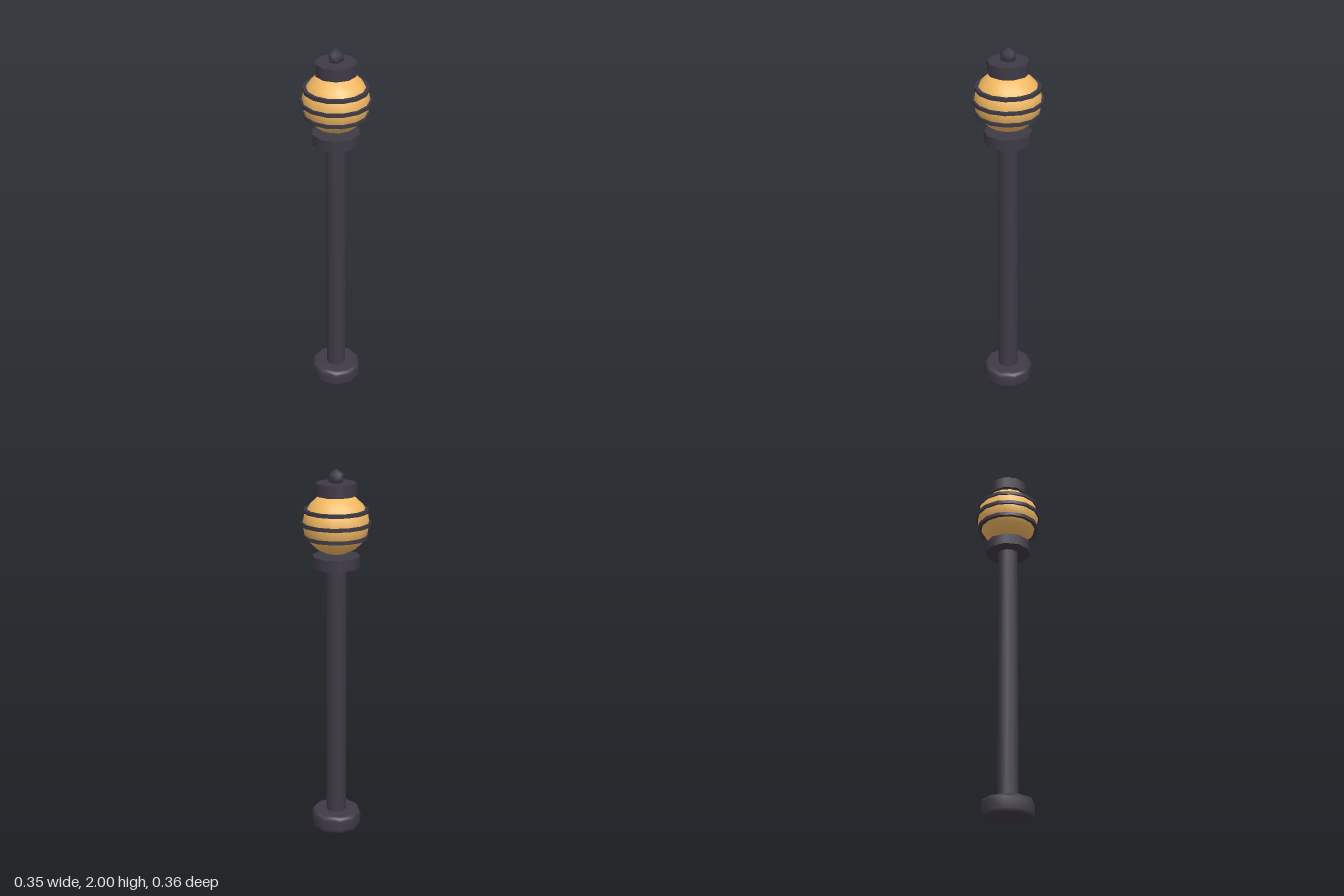
import * as THREE from 'three';

const iron = new THREE.MeshStandardMaterial({ color: 0x3f3a46 });
const amber = new THREE.MeshStandardMaterial({ color: 0xf2b963 });

export function createModel() {
  const model = new THREE.Group();
  model.name = 'lampPost';

  const add = (name, geometry, material, y) => {
    const mesh = new THREE.Mesh(geometry, material);
    mesh.name = name;
    mesh.position.y = y;
    model.add(mesh);
    return mesh;
  };
  // Upright drum between two heights
  const drum = (name, radius, bottom, top, sides = 10) =>
    add(name, new THREE.CylinderGeometry(radius, radius, top - bottom, sides), iron, (bottom + top) / 2);

  // Rounded foot
  const footProfile = [
    [0, 0], [0.115, 0], [0.13, 0.007], [0.137, 0.022],
    [0.137, 0.078], [0.13, 0.093], [0.115, 0.1], [0, 0.1],
  ].map(([r, y]) => new THREE.Vector2(r, y));
  add('foot', new THREE.LatheGeometry(footProfile, 10), iron, 0);

  // Post and the collar under the globe
  drum('post', 0.055, 0.09, 1.5);
  drum('collar', 0.124, 1.495, 1.555);

  // Slightly flattened glass globe
  const globeY = 1.723;
  const globe = new THREE.SphereGeometry(0.172, 14, 10);
  globe.rotateY(Math.PI / 2);
  globe.scale(1, 0.161 / 0.172, 1);
  add('globe', globe, amber, globeY);

  // Bands around the globe
  [[-0.067, 0.168], [0, 0.182], [0.067, 0.168]].forEach(([dy, radius], i) =>
    drum(`globeBand${i + 1}`, radius, globeY + dy - 0.009, globeY + dy + 0.009, 14));

  // Cap
  drum('cap', 0.105, 1.867, 1.93);

  // Finial: icosahedron standing on a corner, with smooth normals
  const finial = new THREE.IcosahedronGeometry(0.043, 0);
  finial.rotateZ(-Math.atan(2 / (1 + Math.sqrt(5))));
  const p = finial.attributes.position;
  const v = new THREE.Vector3();
  for (let i = 0; i < p.count; i++) {
    v.fromBufferAttribute(p, i).normalize();
    finial.attributes.normal.setXYZ(i, v.x, v.y, v.z);
  }
  add('finial', finial, iron, 1.957);

  return model;
}
